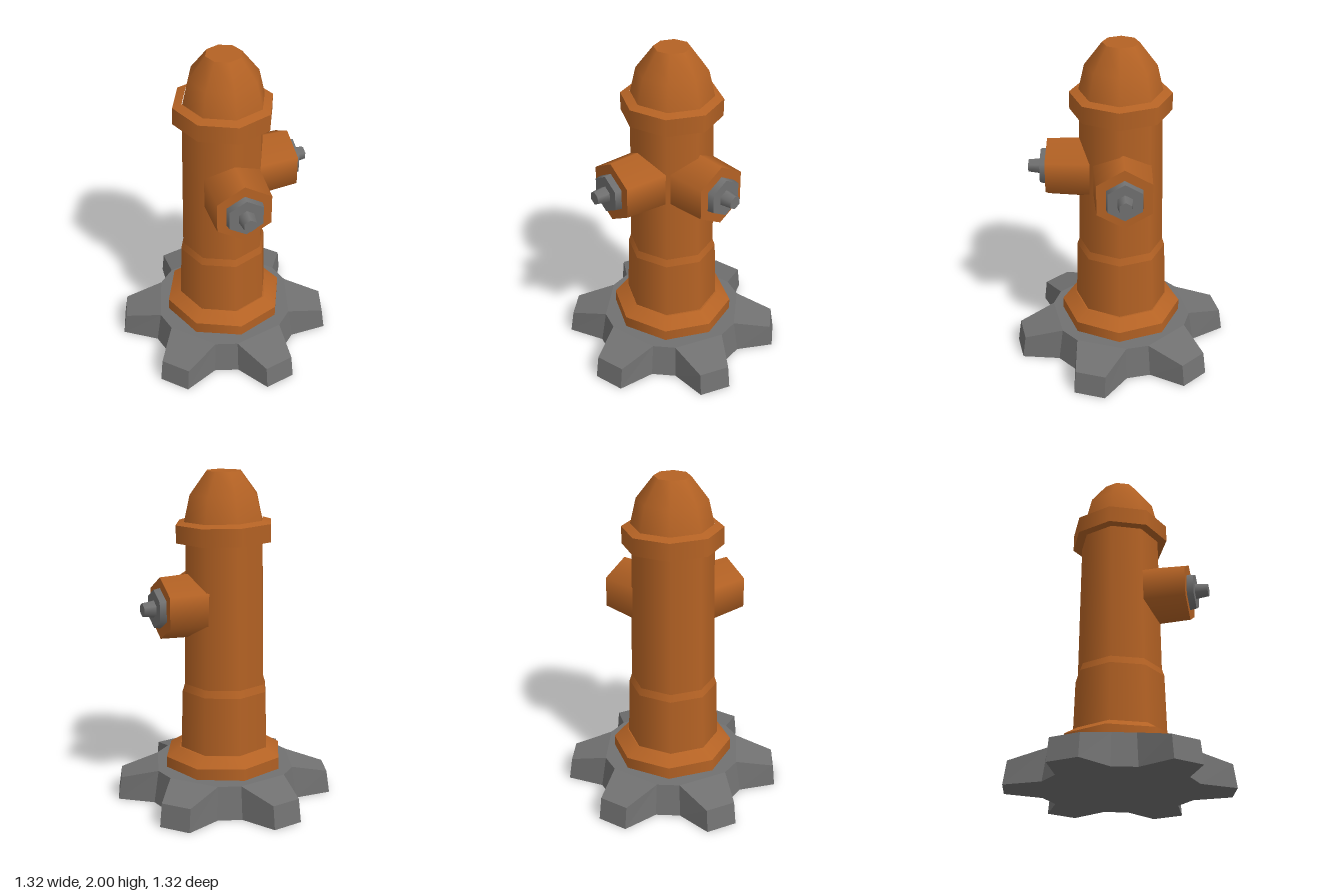
import * as THREE from 'three';

const orange = new THREE.MeshStandardMaterial({ color: 0xb46224 });
orange.name = 'orange paint';
const grey = new THREE.MeshStandardMaterial({ color: 0x717171 });
grey.name = 'grey metal';

// Stack of rings [radius, height]: smooth around, sharp between bands
function bands(name, profile, sides, material) {
  const group = new THREE.Group();
  group.name = name;
  for (let i = 0; i < profile.length - 1; i++) {
    const [r0, y0] = profile[i], [r1, y1] = profile[i + 1];
    const geo = new THREE.LatheGeometry([new THREE.Vector2(r0, y0), new THREE.Vector2(r1, y1)], sides);
    const mesh = new THREE.Mesh(geo, material);
    mesh.name = name + 'Band';
    group.add(mesh);
  }
  return group;
}

// Six-toothed foot with sloping teeth
function makeFoot() {
  const bottom = [], top = [], pos = [];
  const ringPoint = (deg, r, y) => {
    const a = THREE.MathUtils.degToRad(deg);
    return [r * Math.sin(a), y, r * Math.cos(a)];
  };
  for (let i = 0; i < 6; i++) {
    const c = 15 + i * 60;
    for (const d of [-8.3, 8.3]) {
      bottom.push(ringPoint(c + d, 0.665, 0));
      top.push(ringPoint(c + d, 0.645, 0.14));
    }
    for (const d of [21, 39]) {
      bottom.push(ringPoint(c + d, 0.47, 0));
      top.push(ringPoint(c + d, 0.44, 0.2));
    }
  }
  const tri = (a, b, c) => pos.push(...a, ...b, ...c);
  const n = top.length, hub = [0, 0.207, 0], under = [0, 0, 0];
  for (let i = 0; i < n; i++) {
    const j = (i + 1) % n;
    tri(bottom[i], bottom[j], top[j]);
    tri(bottom[i], top[j], top[i]);
    tri(under, bottom[j], bottom[i]);
    // tooth tops join the valley corners, valleys join the hub
    if (i % 4 === 0) {
      const prev = top[(i + n - 1) % n], next = top[(i + 2) % n];
      tri(prev, top[i], top[j]);
      tri(prev, top[j], next);
      tri(hub, prev, next);
    } else if (i % 4 === 2) {
      tri(hub, top[i], top[j]);
    }
  }
  const geo = new THREE.BufferGeometry();
  geo.setAttribute('position', new THREE.Float32BufferAttribute(pos, 3));
  geo.computeVertexNormals();
  const mesh = new THREE.Mesh(geo, grey);
  mesh.name = 'toothedFoot';
  return mesh;
}

// Hexagonal hose outlet pointing along +z, with nut and bolt
function makeOutlet(name, reach, boltEnd) {
  const outlet = new THREE.Group();
  outlet.name = name;
  const axis = new THREE.Group();
  axis.name = name + 'Axis';
  axis.rotation.x = Math.PI / 2;
  const nutEnd = reach + 0.04;
  axis.add(
    bands('outletBarrel', [[0.197, 0.12], [0.185, reach], [0, reach]], 6, orange),
    bands('outletNut', [[0.123, reach - 0.01], [0.115, nutEnd], [0, nutEnd]], 6, grey),
    bands('outletBolt', [[0.052, nutEnd - 0.01], [0.041, boltEnd], [0, boltEnd]], 6, grey)
  );
  outlet.add(axis);
  outlet.position.y = 1.212;
  return outlet;
}

export function createModel() {
  const model = new THREE.Group();
  model.name = 'fireHydrant';
  model.add(makeFoot());

  // Flange above the foot, leaning very slightly
  const flange = bands('baseFlange', [[0.37, 0.19], [0.37, 0.272], [0.285, 0.325], [0.2, 0.325]], 8, orange);
  flange.rotation.z = -0.012;
  flange.position.x = -0.003;
  model.add(flange);

  // Tapering barrel with a step
  const barrel = bands('barrel', [[0.282, 0.28], [0.27, 0.68], [0.256, 0.725], [0.243, 1.62]], 8, orange);
  barrel.position.x = -0.006;
  model.add(barrel);

  // Collar under the dome
  const collar = bands('collar', [[0.2, 1.592], [0.3, 1.592], [0.3, 1.698], [0.245, 1.715]], 8, orange);
  collar.rotation.z = -0.022;
  collar.position.x = -0.04;
  model.add(collar);

  // Smooth dome with a flat top
  const domeProfile = [[0.25, 1.69], [0.21, 1.865], [0.107, 2]].map(([r, y]) => new THREE.Vector2(r, y));
  const dome = new THREE.Mesh(new THREE.LatheGeometry(domeProfile, 8), orange);
  dome.name = 'dome';
  model.add(dome, bands('domeTop', [[0.107, 2], [0, 2]], 8, orange));

  // Outlets on the front and the left
  const front = makeOutlet('frontOutlet', 0.437, 0.553);
  front.rotation.y = -0.03;
  const left = makeOutlet('leftOutlet', 0.408, 0.52);
  left.rotation.y = Math.PI / 2 + 0.08;
  model.add(front, left);

  return model;
}
